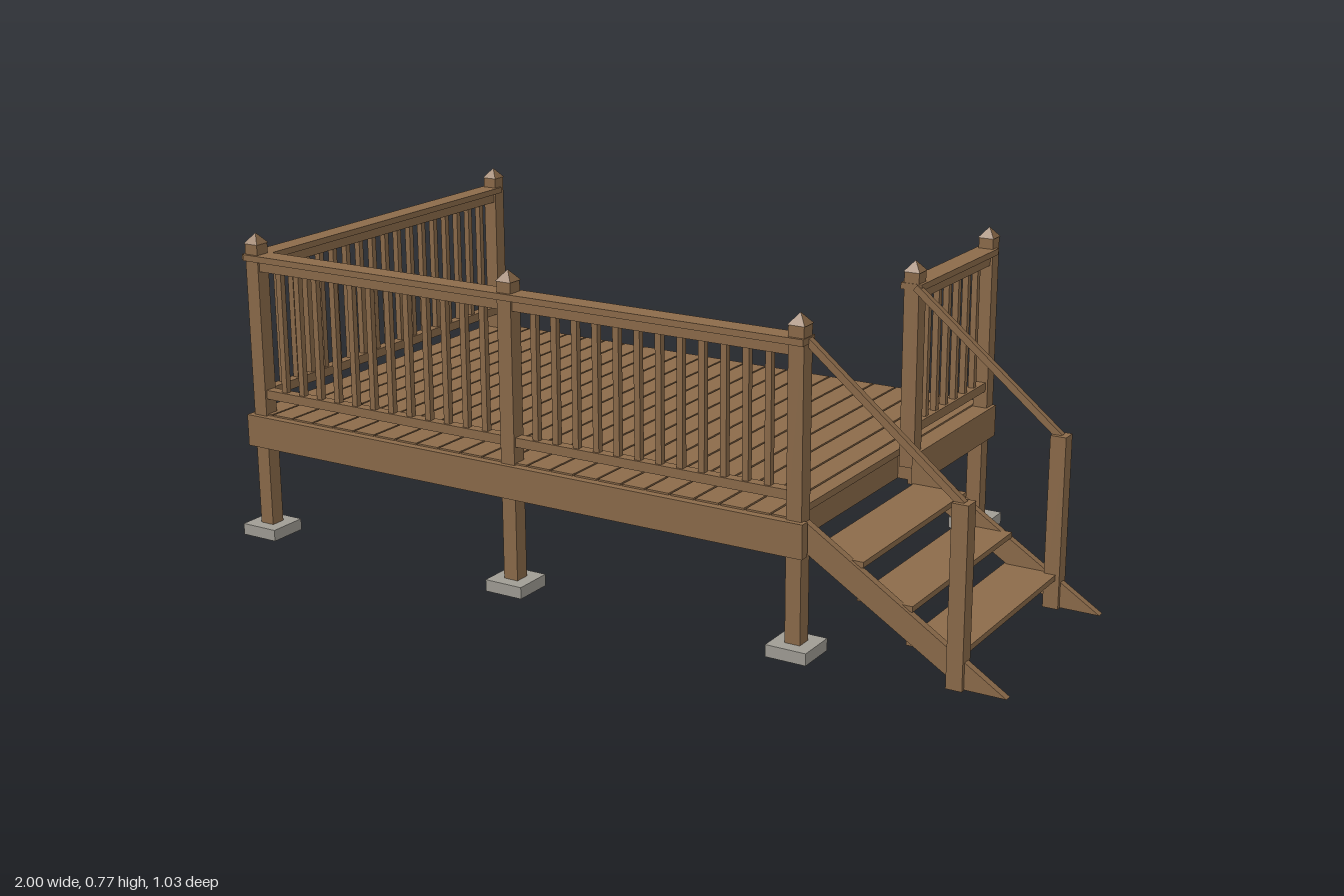
import * as THREE from 'three';

export function createModel() {
  const wood = new THREE.MeshStandardMaterial({ color: 0x8c6b4a });
  wood.name = 'brown wood';
  const concrete = new THREE.MeshStandardMaterial({ color: 0xa09d95 });
  concrete.name = 'grey concrete';

  const model = new THREE.Group();
  model.name = 'deckWithStairs';

  const group = (name) => {
    const g = new THREE.Group();
    g.name = name;
    model.add(g);
    return g;
  };
  // Box given by its limits on each axis
  const box = (parent, name, [x0, x1], [y0, y1], [z0, z1], mat = wood) => {
    const m = new THREE.Mesh(new THREE.BoxGeometry(x1 - x0, y1 - y0, z1 - z0), mat);
    m.position.set((x0 + x1) / 2, (y0 + y1) / 2, (z0 + z1) / 2);
    m.name = name;
    parent.add(m);
    return m;
  };
  const around = (c, w) => [c - w / 2, c + w / 2];

  const LEFT = -0.953, MID = -0.22, RIGHT = 0.513;
  const FRONT = 0.468, GATE = -0.075, BACK = -0.485;
  const POST = 0.037;

  // Deck frame and floor boards
  const deck = group('deck');
  box(deck, 'joistCore', [-0.96, 0.49], [0.25, 0.308], [-0.48, 0.48]);
  box(deck, 'frontRim', [-0.985, 0.54], [0.24, 0.318], [0.475, 0.499]);
  box(deck, 'backRim', [-0.96, 0.515], [0.24, 0.308], [-0.485, -0.46]);
  box(deck, 'sideRim', [-0.985, -0.96], [0.24, 0.308], [-0.503, 0.475]);
  box(deck, 'sideRim', [0.515, 0.54], [0.24, 0.318], [-0.503, -0.06]);
  box(deck, 'rimFiller', [0.49, 0.515], [0.25, 0.318], [-0.485, -0.06]);
  const pitch = 0.0625;
  for (let i = 0; i < 24; i++) {
    const x = -0.981 + i * pitch;
    box(deck, 'floorBoard', [x, Math.min(x + pitch - 0.005, 0.494)], [0.306, 0.322], [-0.506, 0.48]);
  }

  // Legs on concrete footings
  const supports = group('supports');
  for (const [x, z] of [[LEFT, FRONT], [MID, FRONT], [RIGHT, FRONT], [LEFT, -0.463], [RIGHT, -0.463]]) {
    box(supports, 'leg', around(x, POST), [0, 0.3], around(z, POST));
    box(supports, 'footing', around(x, 0.098), [0.012, 0.04], around(z, 0.098), concrete);
  }

  // Railing posts with pyramid caps
  const posts = group('railingPosts');
  for (const [x, z] of [[LEFT, FRONT], [MID, FRONT], [RIGHT, FRONT], [RIGHT, GATE], [LEFT, BACK], [RIGHT, BACK]]) {
    box(posts, 'post', around(x, POST), [0.28, 0.742], around(z, POST));
    const cap = new THREE.Mesh(new THREE.ConeGeometry(0.041 / Math.SQRT2, 0.025, 4).toNonIndexed(), wood);
    cap.geometry.computeVertexNormals();
    cap.rotation.y = Math.PI / 4;
    cap.position.set(x, 0.753, z);
    cap.name = 'postCap';
    posts.add(cap);
  }

  // Railing panel between two posts, running along x or z
  const railing = (name, axis, fixed, a, b, count, over = [0, 0]) => {
    const g = group(name);
    const bar = (part, span, y, w) => axis === 'x'
      ? box(g, part, span, y, around(fixed, w))
      : box(g, part, around(fixed, w), y, span);
    bar('handrailCap', [a - over[0], b + over[1]], [0.7, 0.715], 0.052);
    bar('topRail', [a, b], [0.675, 0.7], 0.026);
    bar('bottomRail', [a, b], [0.36, 0.382], 0.026);
    for (let i = 0; i < count; i++) {
      const c = a + 0.07 + ((b - a - 0.14) * i) / (count - 1);
      bar('baluster', around(c, 0.015), [0.38, 0.678], 0.015);
    }
  };
  railing('frontRailingLeft', 'x', FRONT, LEFT, MID, 12, [0.02, 0]);
  railing('frontRailingRight', 'x', FRONT, MID, RIGHT, 12, [0, 0.02]);
  railing('sideRailing', 'z', LEFT, BACK, FRONT, 17, [0, 0.022]);
  railing('stairSideRailing', 'z', RIGHT, BACK, GATE, 6, [0, 0.02]);

  // Stairs: sloping stringers, newels, handrails and treads
  const stairs = group('stairs');
  const outline = new THREE.Shape([
    [0.53, 0.315], [0.53, 0.247], [0.9, 0.018], [0.998, 0.018],
  ].map(([x, y]) => new THREE.Vector2(x, y)));
  const from = new THREE.Vector2(0.525, 0.708), to = new THREE.Vector2(0.885, 0.415);
  for (const z of [0.46, -0.058]) {
    const stringer = new THREE.Mesh(
      new THREE.ExtrudeGeometry(outline, { depth: 0.018, bevelEnabled: false }), wood);
    stringer.position.z = z - 0.009;
    stringer.name = 'stringer';
    stairs.add(stringer);
    box(stairs, 'newel', around(0.885, POST), [0.016, 0.42], around(z, POST));
    const rail = new THREE.Mesh(new THREE.BoxGeometry(from.distanceTo(to), 0.016, 0.016), wood);
    rail.position.set((from.x + to.x) / 2, (from.y + to.y) / 2, z);
    rail.rotation.z = Math.atan2(to.y - from.y, to.x - from.x);
    rail.name = 'stairHandrail';
    stairs.add(rail);
  }
  for (let i = 0; i < 3; i++) {
    const x = 0.536 + i * 0.115, y = 0.234 - i * 0.075;
    box(stairs, 'tread', [x, x + 0.128], [y, y + 0.013], [-0.058, 0.46]);
  }
  return model;
}
